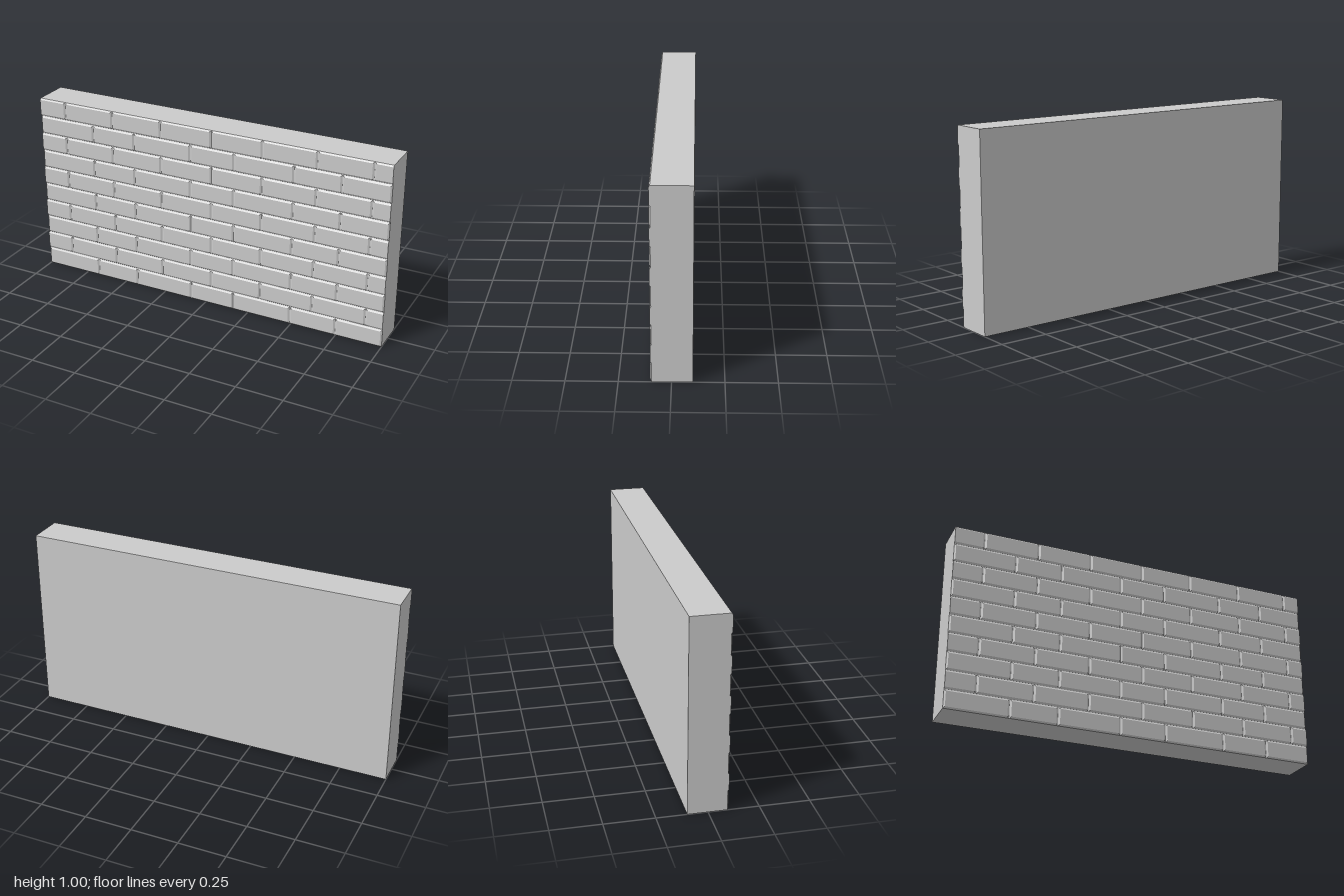
import * as THREE from 'three';

const FACE = 0.1;       // front of the bricks, and minus the back of the wall
const DEPTH = 0.006;    // depth of the mortar joints
const BEVEL = 0.009;    // width of a brick's sloping edge
const GAP = 0.001;      // half the flat bottom of a joint
const ROW = 0.1;

// Vertical joints of the two alternating courses
const JOINTS_A = [-1, -0.671, -0.42, -0.087, 0.163, 0.493, 0.747, 1];
const JOINTS_B = [-1, -0.842, -0.551, -0.26, 0.035, 0.32, 0.615, 0.906, 1];

// Brick face: a thin box whose front is drawn in by the bevel at each end
function brickGeometry(x0, x1, y0, y1, bevelLeft, bevelRight) {
  const geo = new THREE.BoxGeometry(1, 1, 1);
  const pos = geo.attributes.position;
  for (let i = 0; i < pos.count; i++) {
    const front = pos.getZ(i) > 0;
    const inset = front ? BEVEL : 0;
    const x = pos.getX(i) < 0 ? x0 + inset * bevelLeft : x1 - inset * bevelRight;
    const y = pos.getY(i) < 0 ? y0 + inset : y1 - inset;
    pos.setXYZ(i, x, y, front ? FACE : FACE - DEPTH);
  }
  geo.computeVertexNormals();
  return geo;
}

export function createModel() {
  const model = new THREE.Group();
  model.name = 'brickWall';
  const material = new THREE.MeshStandardMaterial({ color: 0xcccccc });

  // Solid wall, its front forming the bottom of the joints
  const core = new THREE.Mesh(new THREE.BoxGeometry(2, 1, 2 * FACE - DEPTH), material);
  core.position.set(0, 0.5, -DEPTH / 2);
  core.name = 'wallCore';
  model.add(core);

  // Ten courses of bricks; whole bricks end the even courses, cut bricks the odd ones
  for (let row = 0; row < 10; row++) {
    const course = new THREE.Group();
    course.name = `course${row + 1}`;
    const cut = row % 2 === 1;
    const joints = cut ? JOINTS_B : JOINTS_A;
    const y0 = row * ROW + (row === 0 ? 0 : GAP);
    const y1 = (row + 1) * ROW - (row === 9 ? 0 : GAP);
    for (let i = 0; i < joints.length - 1; i++) {
      const first = i === 0;
      const last = i === joints.length - 2;
      const geo = brickGeometry(
        joints[i] + (first ? 0 : GAP), joints[i + 1] - (last ? 0 : GAP), y0, y1,
        first && cut ? 0 : 1, last && cut ? 0 : 1);
      const brick = new THREE.Mesh(geo, material);
      brick.name = 'brick';
      course.add(brick);
    }
    model.add(course);
  }
  return model;
}
